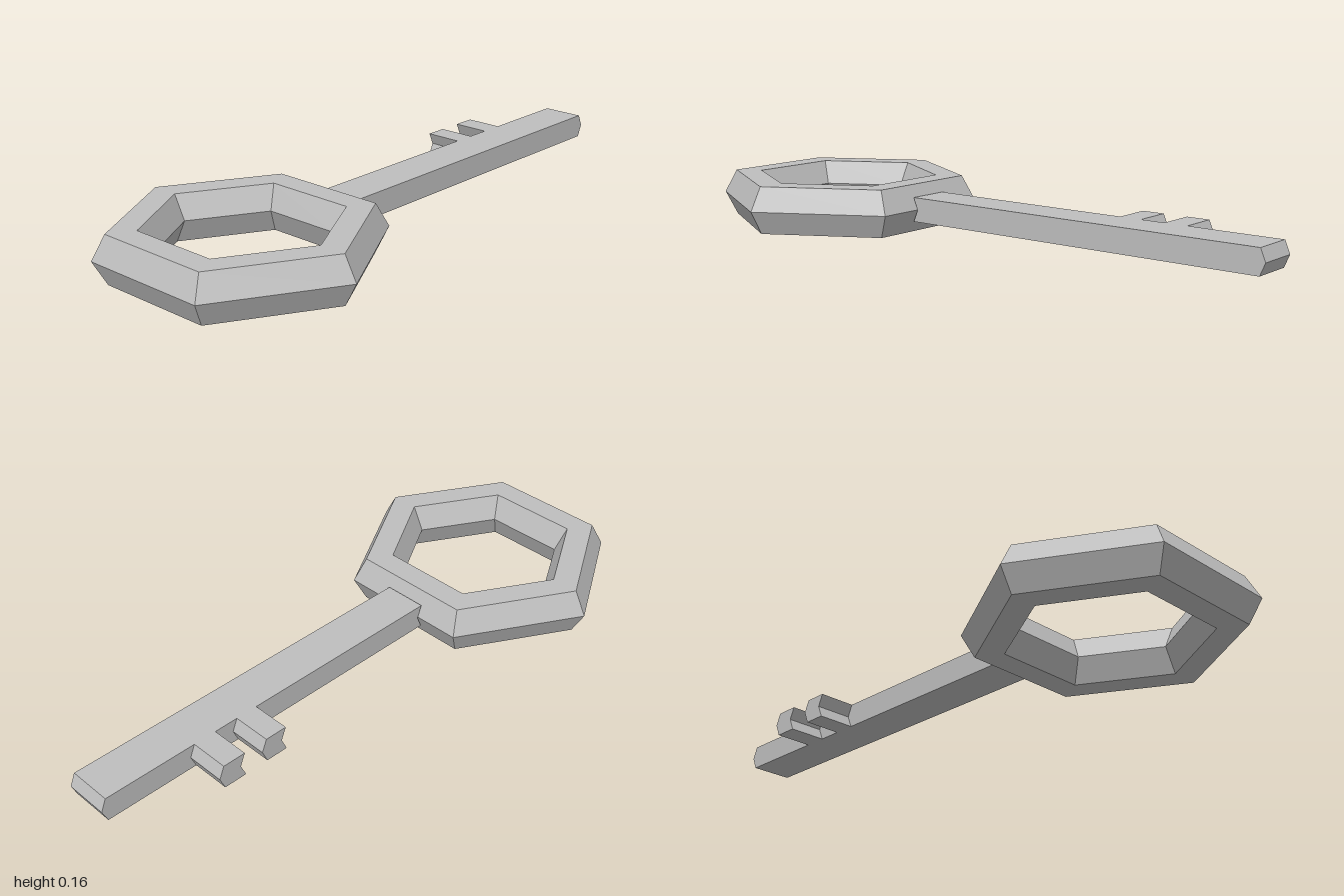
import * as THREE from 'three';

const metal = new THREE.MeshStandardMaterial({ color: 0xbebebe });
metal.name = 'grey metal';

const H = 0.164; // full height of the ring
const MID = H / 2;

// Hexagonal ring with a bevelled, six-sided cross-section
function makeBow() {
  const profile = [
    [0.422, 0], [0.467, MID], [0.422, H],
    [0.326, H], [0.284, MID], [0.326, 0], [0.422, 0],
  ].map(([r, y]) => new THREE.Vector2(r, y));
  const geo = new THREE.LatheGeometry(profile, 6, Math.PI / 2).toNonIndexed();
  geo.computeVertexNormals();
  const mesh = new THREE.Mesh(geo, metal);
  mesh.name = 'bow';
  return mesh;
}

// Shaft and two teeth in one outline; the middle layer is pushed towards the tip
function makeBlade() {
  const w = 0.075, t = 0.209, depth = 0.084;
  const outline = [[0.39, -w], [1.701, -w], [1.701, w]];
  for (const [a, b] of [[1.295, 1.376], [1.132, 1.21]]) {
    outline.push([b, w], [b, t], [a, t], [a, w]);
  }
  outline.push([0.39, w]);
  const shape = new THREE.Shape(outline.map(([x, y]) => new THREE.Vector2(x, y)));
  const geo = new THREE.ExtrudeGeometry(shape, { depth, steps: 2, bevelEnabled: false });
  const pos = geo.attributes.position;
  for (let i = 0; i < pos.count; i++) {
    if (Math.abs(pos.getZ(i) - depth / 2) < 0.001) pos.setX(i, pos.getX(i) + 0.018);
  }
  geo.translate(0, 0, MID - depth / 2);
  geo.rotateX(-Math.PI / 2);
  geo.rotateY(Math.PI / 6);
  geo.computeVertexNormals();
  const mesh = new THREE.Mesh(geo, metal);
  mesh.name = 'shaftAndTeeth';
  return mesh;
}

export function createModel() {
  const key = new THREE.Group();
  key.name = 'key';
  const parts = [makeBow(), makeBlade()];
  for (const part of parts) {
    part.position.set(-0.533, 0, 0.262);
    key.add(part);
  }
  return key;
}
